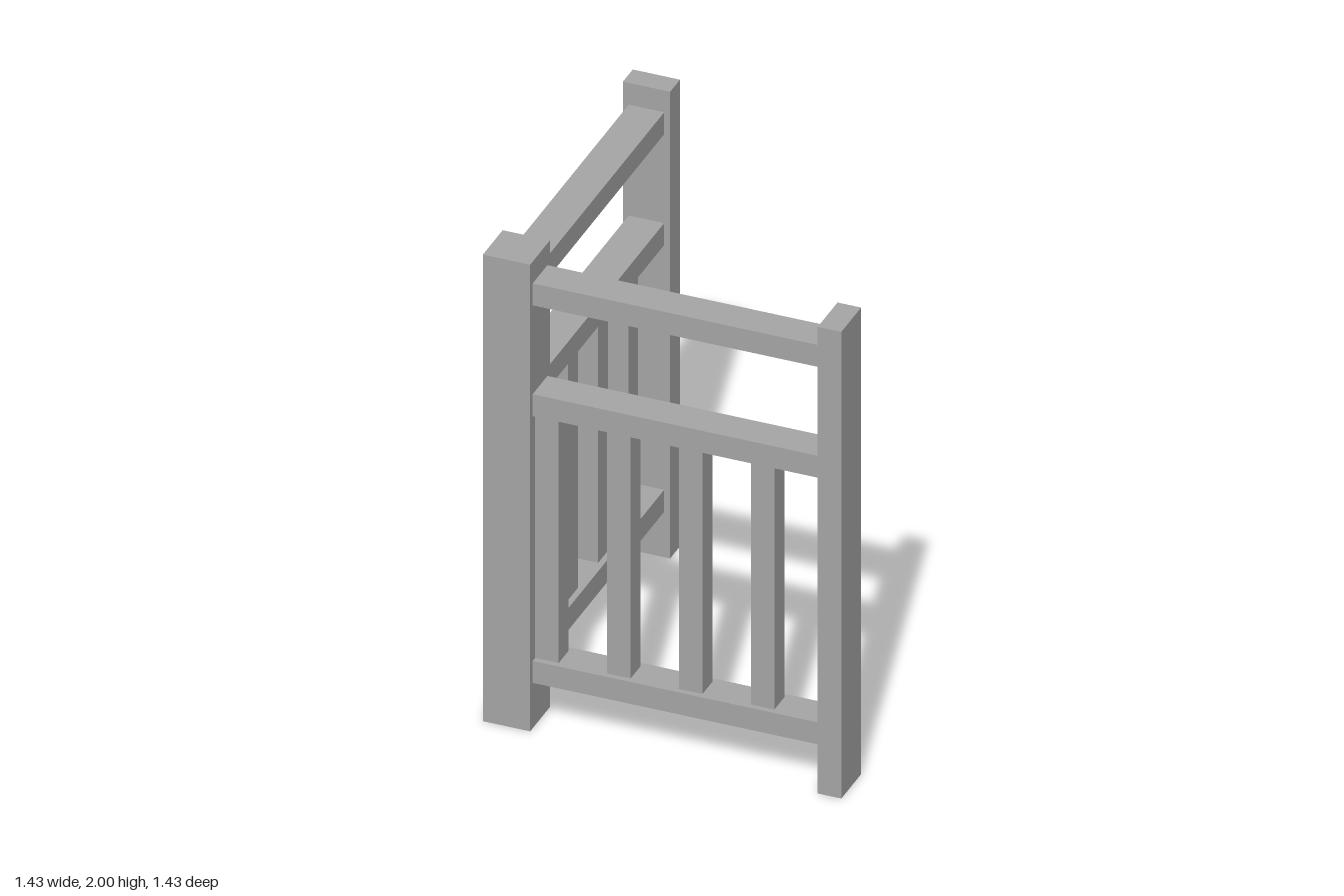
import * as THREE from 'three';

export function createModel() {
  const model = new THREE.Group();
  model.name = 'cornerRailing';
  const grey = new THREE.MeshStandardMaterial({ color: 0xa6a6a6 });
  grey.name = 'grey';

  const THICK = 0.094;       // thickness of end posts, rails and balusters
  const POST = 0.188;        // width of the corner post
  const CORNER = 0.619;      // distance of the corner post from each axis

  // Box given by its minimum and maximum along x and y, centred on z
  function bar(parent, name, x0, x1, y0, y1, depth) {
    const mesh = new THREE.Mesh(new THREE.BoxGeometry(x1 - x0, y1 - y0, depth), grey);
    mesh.position.set((x0 + x1) / 2, (y0 + y1) / 2, 0);
    mesh.name = name;
    parent.add(mesh);
  }

  // One railing side, running along +x from the centre of the corner post
  function railingPanel(name, angle) {
    const panel = new THREE.Group();
    panel.name = name;
    const start = POST / 2;
    const end = 2 * CORNER;
    bar(panel, 'endPost', end, end + THICK, 0, 2, POST);

    const rails = { lowerRail: 0.195, middleRail: 1.338, topRail: 1.813 };
    for (const [rail, y] of Object.entries(rails)) {
      bar(panel, rail, start, end, y, y + THICK, 0.141);
    }
    // Balusters between the lower and middle rails
    for (let i = 0; i < 4; i++) {
      const x = start + i * 0.286;
      bar(panel, 'baluster', x, x + THICK, 0.195 + THICK, 1.338, THICK);
    }
    panel.position.set(-CORNER, 0, CORNER);
    panel.rotation.y = angle;
    model.add(panel);
  }

  railingPanel('frontRailing', 0);
  railingPanel('rightRailing', Math.PI / 2);

  // Square post shared by both sides
  const corner = new THREE.Group();
  corner.name = 'cornerPost';
  bar(corner, 'cornerPostBlock', -POST / 2, POST / 2, 0, 2, POST);
  corner.position.set(-CORNER, 0, CORNER);
  model.add(corner);

  return model;
}
